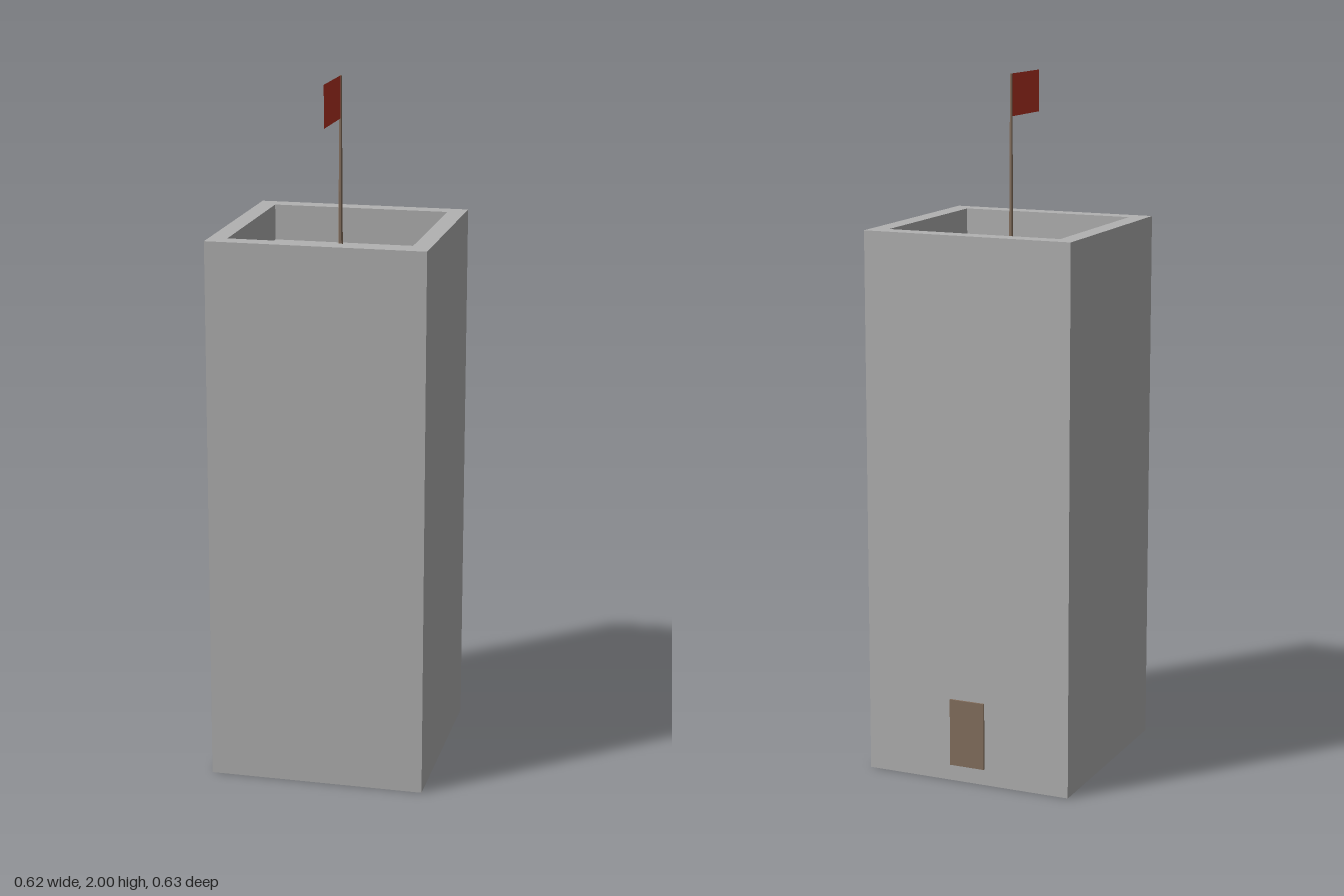
import * as THREE from 'three';

const makeMaterial = (name, color, side = THREE.FrontSide) => {
  const material = new THREE.MeshStandardMaterial({ color, side });
  material.name = name;
  return material;
};

export function createModel() {
  const stone = makeMaterial('grey stone', 0xb2b2b2);
  const wood = makeMaterial('brown wood', 0x85705e);
  const cloth = makeMaterial('red cloth', 0xb53424, THREE.DoubleSide);

  const model = new THREE.Group();
  model.name = 'watchtower';
  const add = (name, geometry, material, x, y, z) => {
    const mesh = new THREE.Mesh(geometry, material);
    mesh.name = name;
    mesh.position.set(x, y, z);
    model.add(mesh);
    return mesh;
  };

  const half = 0.311;      // half width of the tower
  const innerHalf = 0.259; // half width of the roof recess
  const roofY = 1.473;
  const topY = 1.578;
  const centreZ = 0.0015;

  // Solid tower up to the sunken roof
  add('towerBody', new THREE.BoxGeometry(half * 2, roofY, half * 2), stone, 0, roofY / 2, centreZ);

  // Parapet: square ring around the roof
  const square = (Type, r) => new Type([
    new THREE.Vector2(-r, -r), new THREE.Vector2(r, -r),
    new THREE.Vector2(r, r), new THREE.Vector2(-r, r),
  ]);
  const ring = square(THREE.Shape, half);
  ring.holes.push(square(THREE.Path, innerHalf));
  const parapet = new THREE.ExtrudeGeometry(ring, { depth: topY - roofY, bevelEnabled: false });
  parapet.rotateX(-Math.PI / 2);
  add('parapet', parapet, stone, 0, roofY, centreZ);

  // Thin door panel on the back wall
  add('door', new THREE.BoxGeometry(0.106, 0.197, 0.008), wood, 0, 0.146, -0.311);

  // Tapered six-sided flagpole
  const pole = new THREE.CylinderGeometry(0.0035, 0.0068, 2 - roofY, 6).toNonIndexed();
  pole.rotateY(Math.PI / 6);
  pole.computeVertexNormals();
  add('flagpole', pole, wood, 0, (2 + roofY) / 2, 0);

  // Flat flag flying toward the front
  const flag = new THREE.PlaneGeometry(0.2, 0.12).rotateY(Math.PI / 2);
  add('flag', flag, cloth, 0, 1.94, 0.1);

  return model;
}
